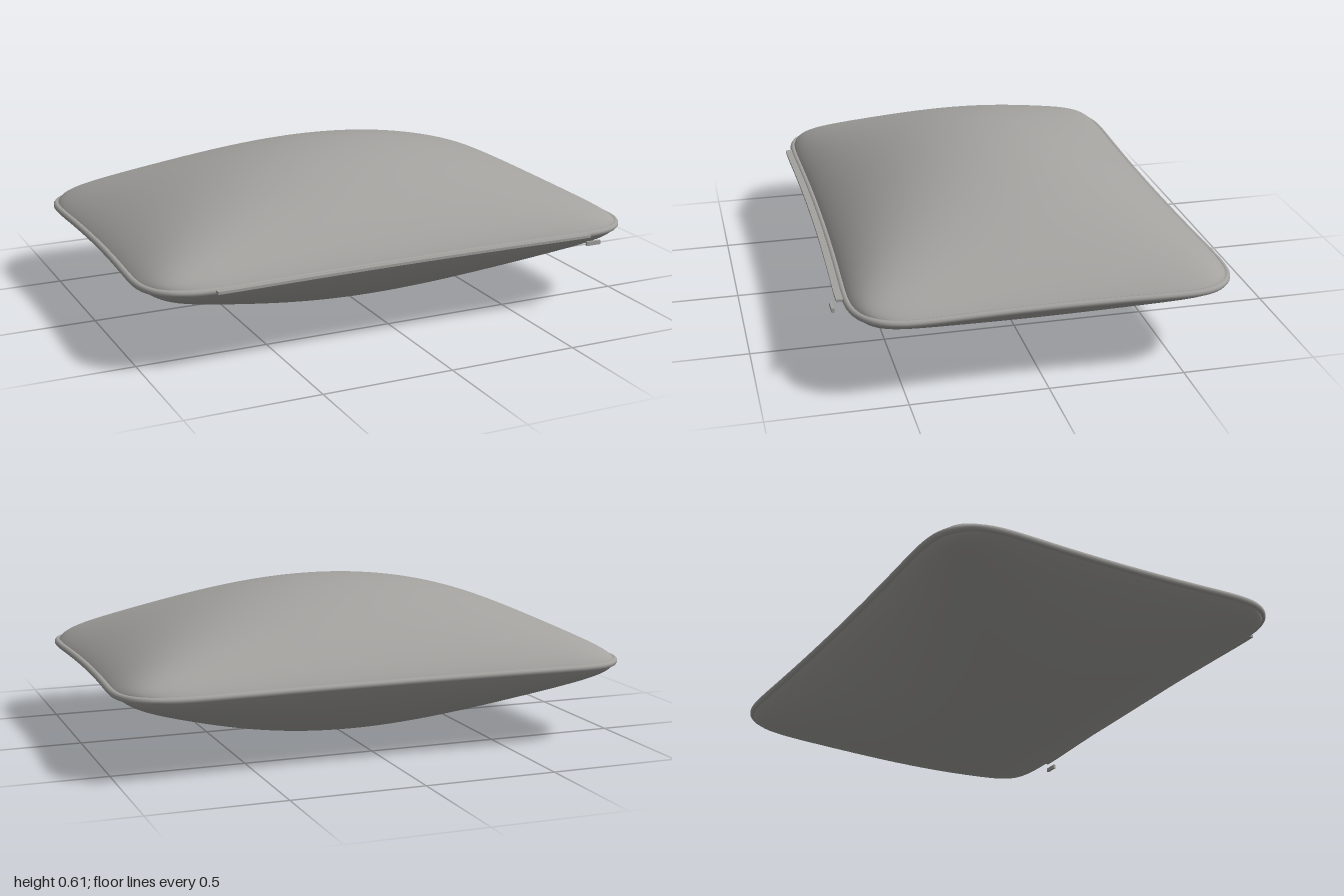
import * as THREE from 'three';

const SEAM_Y = 0.303, CENTRE_Z = -0.02, PUFF = 0.303;

// Maps the square [-1,1]^2 onto the pillow plan: slightly waisted sides, rounded corners
const planX = (u, v) => u * (0.972 + 0.03 * v ** 2 - 0.07 * v ** 10);
const planZ = (u, v) => v * (0.68 + 0.025 * u ** 2 - 0.07 * u ** 14) + CENTRE_Z;

// Height of the stuffing above the seam, with soft ridges towards the corners
function puff(u, v) {
  const a = Math.max(0, 1 - u * u), b = Math.max(0, 1 - v * v);
  const sum = a + b - a * b;
  return sum < 1e-6 ? 0 : PUFF * Math.pow((a * b) / sum, 0.8);
}

// One half of the cover; side is 1 for the top, -1 for the underside
function coverHalf(side) {
  const geo = new THREE.PlaneGeometry(2, 2, 80, 64);
  geo.rotateX(-side * Math.PI / 2);
  const pos = geo.attributes.position;
  for (let i = 0; i < pos.count; i++) {
    const u = Math.sin(pos.getX(i) * Math.PI / 2);
    const v = Math.sin(pos.getZ(i) * Math.PI / 2);
    pos.setXYZ(i, planX(u, v), SEAM_Y + side * puff(u, v), planZ(u, v));
  }
  geo.computeVertexNormals();
  return geo;
}

// Closed seam line around the pillow
function seamCurve() {
  const points = [], n = 32;
  for (let edge = 0; edge < 4; edge++) {
    for (let i = 0; i < n; i++) {
      const t = Math.sin((-1 + 2 * i / n) * Math.PI / 2);
      const [u, v] = [[t, 1], [1, -t], [-t, -1], [-1, t]][edge];
      points.push(new THREE.Vector3(planX(u, v), SEAM_Y, planZ(u, v)));
    }
  }
  // drop nearly coincident points beside the corners
  const spaced = points.filter((p, i) => i === 0 || p.distanceTo(points[i - 1]) > 0.008);
  return new THREE.CatmullRomCurve3(spaced, true);
}

export function createModel() {
  const group = new THREE.Group();
  const fabric = new THREE.MeshStandardMaterial({ color: 0xa3a29f });
  fabric.name = 'grey fabric';

  const add = (name, geo) => {
    const mesh = new THREE.Mesh(geo, fabric);
    mesh.name = name;
    group.add(mesh);
    return mesh;
  };

  add('topCover', coverHalf(1));
  add('bottomCover', coverHalf(-1));
  add('piping', new THREE.TubeGeometry(seamCurve(), 300, 0.013, 10, true));

  // Zip strip following the front seam
  const zip = new THREE.BoxGeometry(1.52, 0.01, 0.025, 40, 1, 1);
  const pos = zip.attributes.position;
  for (let i = 0; i < pos.count; i++) {
    pos.setZ(i, pos.getZ(i) + planZ(pos.getX(i) / 0.932, 1) + 0.0225);
  }
  zip.translate(0, SEAM_Y + 0.003, 0);
  zip.computeVertexNormals();
  add('zipStrip', zip);

  // Small pull tab at the end of the zip
  add('zipPull', new THREE.BoxGeometry(0.06, 0.016, 0.01)).position.set(0.76, 0.285, 0.724);

  return group;
}
